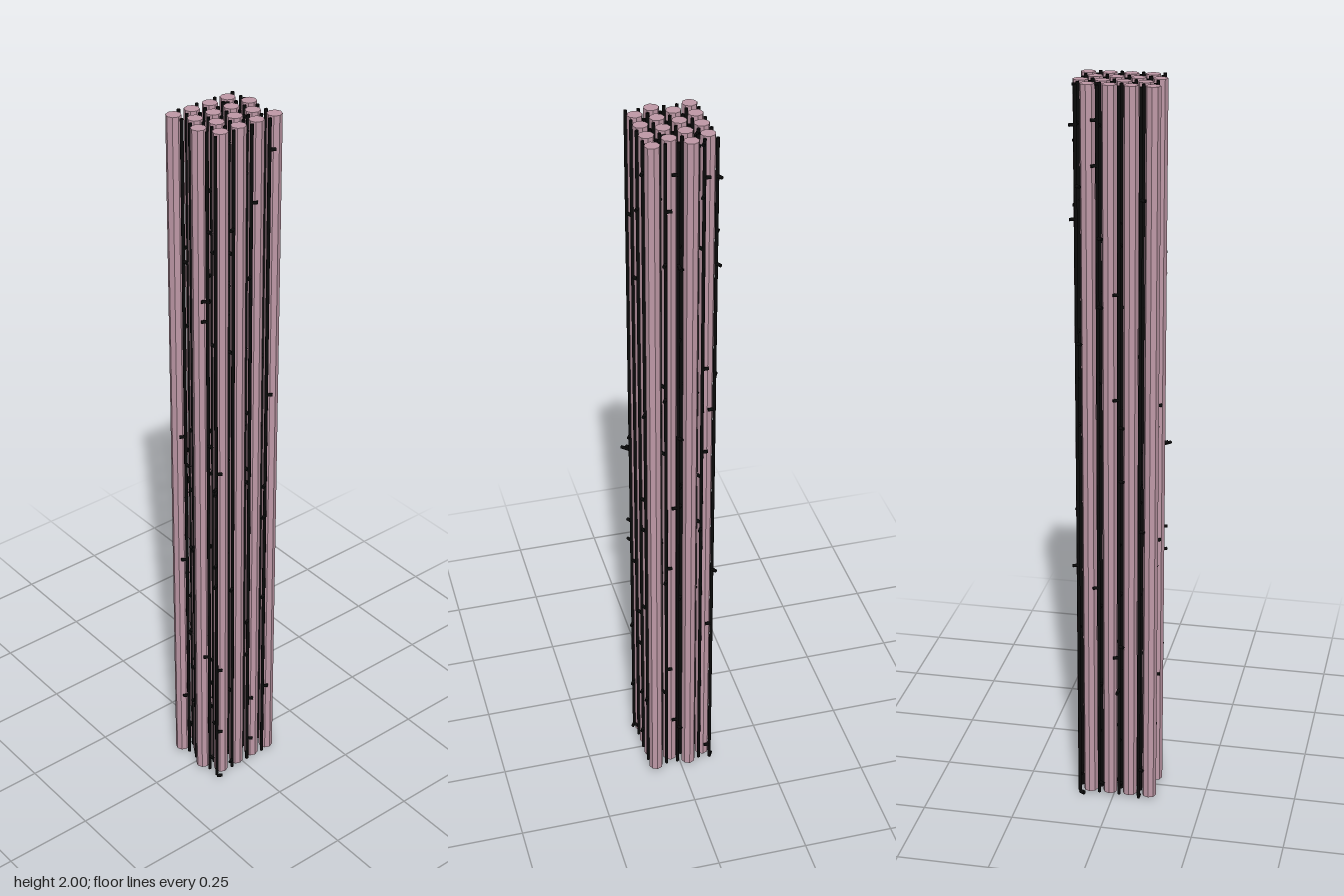
import * as THREE from 'three';

export function createModel() {
  const group = new THREE.Group();
  const rodMaterial = new THREE.MeshStandardMaterial({ color: 0xc09aa8, flatShading: true });
  const blackMaterial = new THREE.MeshStandardMaterial({ color: 0x0a0a0a });

  const pitch = 0.0553;                    // rod spacing along x
  const rowStep = pitch * Math.sqrt(3) / 2; // row spacing along z
  const edge = pitch / Math.sqrt(3);       // side of one honeycomb cell
  const x0 = -0.1, z0 = -0.0705;
  const bottom = 0.01, top = 2;
  const height = top - bottom, midY = (top + bottom) / 2;

  // Small seeded generator for the peg heights
  let seed = 11;
  const random = () => {
    seed = (seed * 16807) % 2147483647;
    return seed / 2147483647;
  };

  const rodGeometry = new THREE.CylinderGeometry(0.0195, 0.0195, height, 8);
  const poleGeometry = new THREE.CylinderGeometry(0.0045, 0.0045, height, 8);
  const pegGeometry = (length) =>
    new THREE.CylinderGeometry(0.0045, 0.0045, length, 8).translate(0, length / 2, 0).rotateX(Math.PI / 2);
  const shortPeg = pegGeometry(edge / 2);
  const longPeg = pegGeometry(0.0285);

  function add(name, geometry, material, x, y, z, turn = 0) {
    const mesh = new THREE.Mesh(geometry, material);
    mesh.name = name;
    mesh.position.set(x, y, z);
    mesh.rotation.y = turn;
    group.add(mesh);
  }

  // A peg on a pole points along (sin turn, cos turn) in x and z
  const third = Math.PI * 2 / 3;
  const pegsPerDirection = 3;
  // Directions left bare on a few outer poles: row, column, side, direction
  const bare = new Set(['0,0,-1,1', '3,1,1,2', '3,3,1,0', '3,3,-1,0']);

  for (let row = 0; row < 4; row++) {
    const z = z0 + row * rowStep;
    const odd = row % 2;
    for (let col = 0; col < 4; col++) {
      // Thick octagonal rod at the centre of a honeycomb cell
      add('rod', rodGeometry, rodMaterial, x0 + (col + odd / 2) * pitch, midY, z);

      // Two thin poles on the cell corners beside it, with pegs towards their neighbours
      const x = x0 + (col + (odd ? 0 : 0.5)) * pitch;
      for (const side of [-1, 1]) {
        const pz = z + side * edge / 2;
        add('pole', poleGeometry, blackMaterial, x, midY, pz);
        const inward = side > 0 ? Math.PI : 0;
        for (let d = 0; d < 3; d++) {
          if (bare.has([row, col, side, d].join())) continue;
          for (let i = 0; i < pegsPerDirection; i++) {
            const y = 0.005 + random() * 1.99;
            add('peg', shortPeg, blackMaterial, x, y, pz, inward + d * third);
          }
        }
      }
    }
  }

  // Pegs at the very ends of the bundle
  const front = z0 + 3 * rowStep + edge / 2, back = z0 - edge / 2;
  add('endPeg', shortPeg, blackMaterial, x0, 0.0045, front, third / 2);
  add('endPeg', shortPeg, blackMaterial, x0 + 3.5 * pitch, 0.0045, back, Math.PI + third / 2);

  // Three long pegs pointing out of the bundle
  add('longPeg', longPeg, blackMaterial, x0 + 1.5 * pitch, 0.34, back, Math.PI);
  add('longPeg', longPeg, blackMaterial, x0, 1.0, front, -Math.PI / 4);
  add('longPeg', longPeg, blackMaterial, x0 + 3.5 * pitch, 1.67, z0 + 2 * rowStep - edge / 2, Math.PI / 2);

  return group;
}
